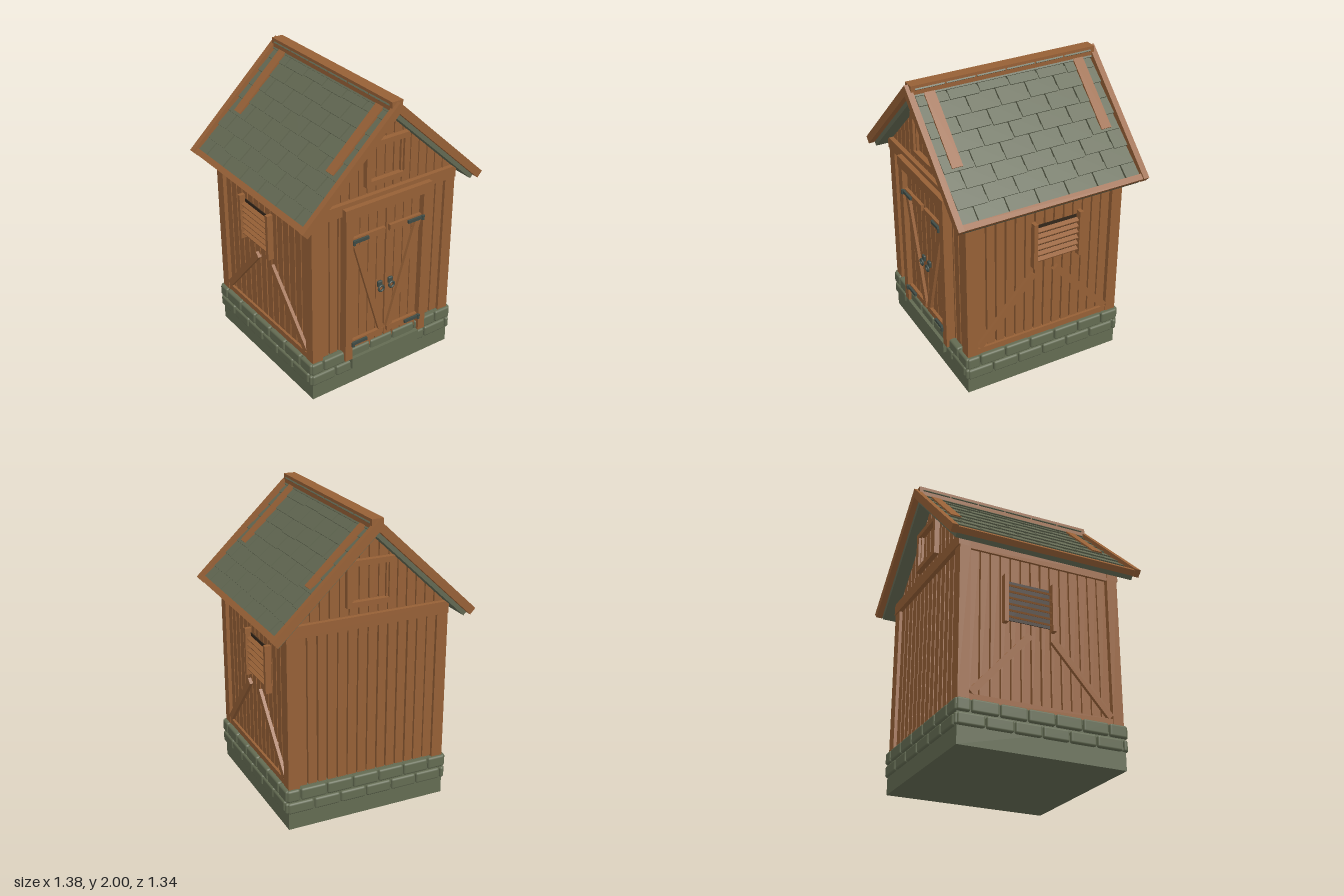
import * as THREE from 'three';
import { RoundedBoxGeometry } from 'three/addons/geometries/RoundedBoxGeometry.js';

const mat = (name, color) => Object.assign(new THREE.MeshStandardMaterial({ color }), { name });

export function createModel() {
  const wood = mat('wood', 0x96602f);
  const stone = mat('stone', 0x636b52);
  const slate = mat('slate', 0x626852);
  const iron = mat('iron', 0x3f4b45);
  const shade = mat('shade', 0x33261a);
  wood.color.set(0x966036);

  const root = new THREE.Group();
  root.name = 'shed';
  let seed = 7;
  const rnd = () => (seed = (seed * 16807) % 2147483647) / 2147483647;

  const group = (name, parent = root) => {
    const g = new THREE.Group();
    g.name = name;
    parent.add(g);
    return g;
  };
  const add = (parent, name, geo, m) => {
    const mesh = new THREE.Mesh(geo, m);
    mesh.name = name;
    parent.add(mesh);
    return mesh;
  };
  // Box given by its limits on each axis
  const box = (parent, name, m, x0, x1, y0, y1, z0, z1) => {
    const mesh = add(parent, name, new THREE.BoxGeometry(Math.abs(x1 - x0), y1 - y0, z1 - z0), m);
    mesh.position.set((x0 + x1) / 2, (y0 + y1) / 2, (z0 + z1) / 2);
    return mesh;
  };

  // Stone base with two courses of rounded blocks
  const base = group('stoneBase');
  box(base, 'plinth', stone, -0.56, 0.56, 0, 0.28, -0.565, 0.565);
  for (const [y, h, shift] of [[0.155, 0.076, 0], [0.243, 0.082, 0.09]]) {
    for (let side = 0; side < 4; side++) {
      const face = group('blockCourse', base);
      face.rotation.y = side * Math.PI / 2;
      for (let i = 0; i < 8; i++) {
        const a = Math.max(-0.575, -0.645 + shift + (i - 0.6) * 0.185);
        const b = Math.min(0.575, -0.645 + shift + (i + 0.4) * 0.185);
        if (b - a < 0.03) continue;
        const block = add(face, 'block', new RoundedBoxGeometry(b - a - 0.008, h, 0.05, 2, 0.014), stone);
        block.position.set((a + b) / 2, y, 0.557);
      }
    }
  }
  box(base, 'doorStep', stone, -0.275, 0.275, 0.145, 0.225, 0.54, 0.605);

  // Corner posts
  const frame = group('timberFrame');
  for (const sx of [-1, 1]) for (const sz of [-1, 1]) {
    box(frame, 'cornerPost', wood, sx * 0.48, sx * 0.557, 0.28, 1.36,
      Math.min(sz * 0.488, sz * 0.562), Math.max(sz * 0.488, sz * 0.562));
  }

  // Plank walls with narrow gaps, and sloped gable planks
  const N = 14, pitch = 0.97 / N;
  const slopeY = x => 1.89 - 0.945 * Math.abs(x);
  for (const s of [1, -1]) {
    const wall = group(s > 0 ? 'frontWall' : 'backWall');
    wall.rotation.y = s > 0 ? 0 : Math.PI;
    for (let i = 0; i < N; i++) {
      const x = -0.485 + i * pitch, g = 0.004 + 0.003 * rnd();
      if (s < 0 || Math.abs(x + pitch / 2) > 0.26) box(wall, 'wallPlank', wood, x + g, x + pitch - g, 0.285, 1.32, 0.51, 0.54);
    }
    box(wall, 'tieBeam', wood, -0.557, 0.557, 1.3, 1.38, 0.5, 0.57);
    for (let i = -8; i < 8; i++) {
      const a = i * 0.066 + 0.005, b = a + 0.056 + 0.003 * rnd();
      const shape = new THREE.Shape([[a, 1.34], [b, 1.34], [b, Math.max(1.341, slopeY(b))], [a, Math.max(1.341, slopeY(a))]]
        .map(p => new THREE.Vector2(...p)));
      add(wall, 'gablePlank', new THREE.ExtrudeGeometry(shape, { depth: 0.03, bevelEnabled: false }), wood).position.z = 0.51;
    }
    // Framed gable hatch
    const hatch = group('gableHatch', wall);
    for (const k of [-1, 1]) {
      box(hatch, 'hatchStile', wood, k * 0.125, k * 0.16, 1.44, 1.735, 0.53, 0.575);
      box(hatch, 'innerStile', wood, k * 0.112, k * 0.125, 1.475, 1.7, 0.53, 0.558);
    }
    for (const y of [1.44, 1.7]) box(hatch, 'hatchRail', wood, -0.125, 0.125, y, y + 0.035, 0.53, 0.575);
  }

  // Side walls with louvred vents and braces
  for (const s of [1, -1]) {
    const wall = group(s > 0 ? 'leftWall' : 'rightWall');
    for (let i = 0; i < N; i++) {
      const z = -0.485 + i * pitch, g = 0.004 + 0.003 * rnd();
      box(wall, 'wallPlank', wood, s * 0.505, s * 0.535, 0.285, 1.36, z + g, z + pitch - g);
    }
    box(wall, 'bottomRail', wood, s * 0.5, s * 0.552, 0.28, 0.325, -0.49, 0.49);
    box(wall, 'topRail', wood, s * 0.5, s * 0.552, 1.29, 1.35, -0.49, 0.49);
    for (const [z0, y0, z1, y1] of [[0.465, 0.345, 0.09, 0.765], [-0.465, 0.345, -0.09, 0.765]]) {
      const brace = add(wall, 'brace', new THREE.BoxGeometry(0.03, 0.045, Math.hypot(z1 - z0, y1 - y0) + 0.03), wood);
      brace.position.set(s * 0.542, (y0 + y1) / 2, (z0 + z1) / 2);
      brace.rotation.x = -Math.atan2(y1 - y0, z1 - z0);
    }
    const vent = group('vent', wall);
    box(vent, 'ventBack', shade, s * 0.534, s * 0.54, 0.855, 1.125, -0.235, 0.065);
    for (const z of [-0.265, 0.068]) box(vent, 'ventPost', wood, s * 0.53, s * 0.577, 0.83, 1.155, z, z + 0.027);
    for (let i = 0; i < 6; i++) {
      const slat = box(vent, 'louvre', wood, s * 0.537, s * 0.567, 0.871 + i * 0.043, 0.883 + i * 0.043, -0.237, 0.067);
      slat.rotation.z = -s * 0.45;
    }
  }

  // Door surround and double doors
  const door = group('doubleDoor');
  box(door, 'doorHeader', wood, -0.335, 0.335, 1.28, 1.352, 0.53, 0.605);
  for (const s of [1, -1]) {
    box(door, 'doorJamb', wood, s * 0.274, s * 0.328, 0.225, 1.29, 0.53, 0.602);
    const leaf = group(s > 0 ? 'leftLeaf' : 'rightLeaf', door);
    for (let i = 0; i < 4; i++) {
      const x = 0.006 + i * 0.067;
      box(leaf, 'doorPlank', wood, s * x, s * (x + 0.06), 0.25, 1.272, 0.535, 0.568);
    }
    for (const y of [0.32, 1.09]) {
      box(leaf, 'ledge', wood, s * 0.018, s * 0.268, y, y + 0.042, 0.565, 0.59);
      box(leaf, 'hingeStrap', iron, s * 0.155, s * 0.278, y + 0.011, y + 0.031, 0.585, 0.606);
      const pin = add(leaf, 'hingePin', new THREE.CylinderGeometry(0.011, 0.011, 0.032, 10), iron);
      pin.position.set(s * 0.27, y + 0.021, 0.605);
    }
    const brace = add(leaf, 'doorBrace', new THREE.BoxGeometry(0.042, 0.775, 0.022), wood);
    brace.position.set(s * 0.138, 0.726, 0.578);
    brace.rotation.z = -s * Math.atan2(0.215, 0.73);
    // Ring pull
    add(leaf, 'pullPlate', new RoundedBoxGeometry(0.036, 0.045, 0.02, 2, 0.008), iron).position.set(s * 0.042, 0.71, 0.575);
    add(leaf, 'pullRing', new THREE.TorusGeometry(0.02, 0.007, 8, 18), iron).position.set(s * 0.042, 0.682, 0.592);
  }

  // Roof: local x runs down the slope from the ridge, local y is the slope normal
  const pitchAngle = Math.atan(0.945);
  const roof = group('roof');
  for (const s of [1, -1]) {
    const turn = group(s > 0 ? 'leftSlope' : 'rightSlope', roof);
    turn.position.y = 1.997;
    turn.rotation.y = s > 0 ? 0 : Math.PI;
    const slope = group('slope', turn);
    slope.rotation.z = -pitchAngle;
    box(slope, 'roofDeck', slate, 0.01, 0.945, -0.08, -0.042, -0.628, 0.628);
    // Staggered shingle courses
    for (let r = 0; r < 8; r++) {
      const end = 0.13 + r * 0.112;
      for (let i = -4; i < 4; i++) {
        const z0 = i * 0.208 + (r % 2) * 0.104, a = Math.max(-0.63, z0), b = Math.min(0.63, z0 + 0.208);
        if (b - a < 0.02) continue;
        const len = 0.152 + 0.012 * rnd();
        const tile = box(slope, 'shingle', slate, end - 0.148, end - 0.148 + len, -0.043, -0.025, a + 0.006, b - 0.006);
        tile.rotation.z = 0.07 + 0.015 * rnd();
      }
    }
    box(slope, 'eaveTrim', wood, 0.908, 0.947, -0.05, -0.01, -0.64, 0.64);
    for (const k of [-1, 1]) {
      box(slope, 'bargeBoard', wood, 0, 0.95, -0.052, 0, k * 0.65 - 0.02, k * 0.65 + 0.02);
      box(slope, 'roofBatten', wood, 0.03, 0.565, -0.04, -0.012, k * 0.525 - 0.036, k * 0.525 + 0.036);
    }
  }
  box(roof, 'ridgeBeam', wood, -0.04, 0.04, 1.93, 2, -0.645, 0.645);

  return root;
}
